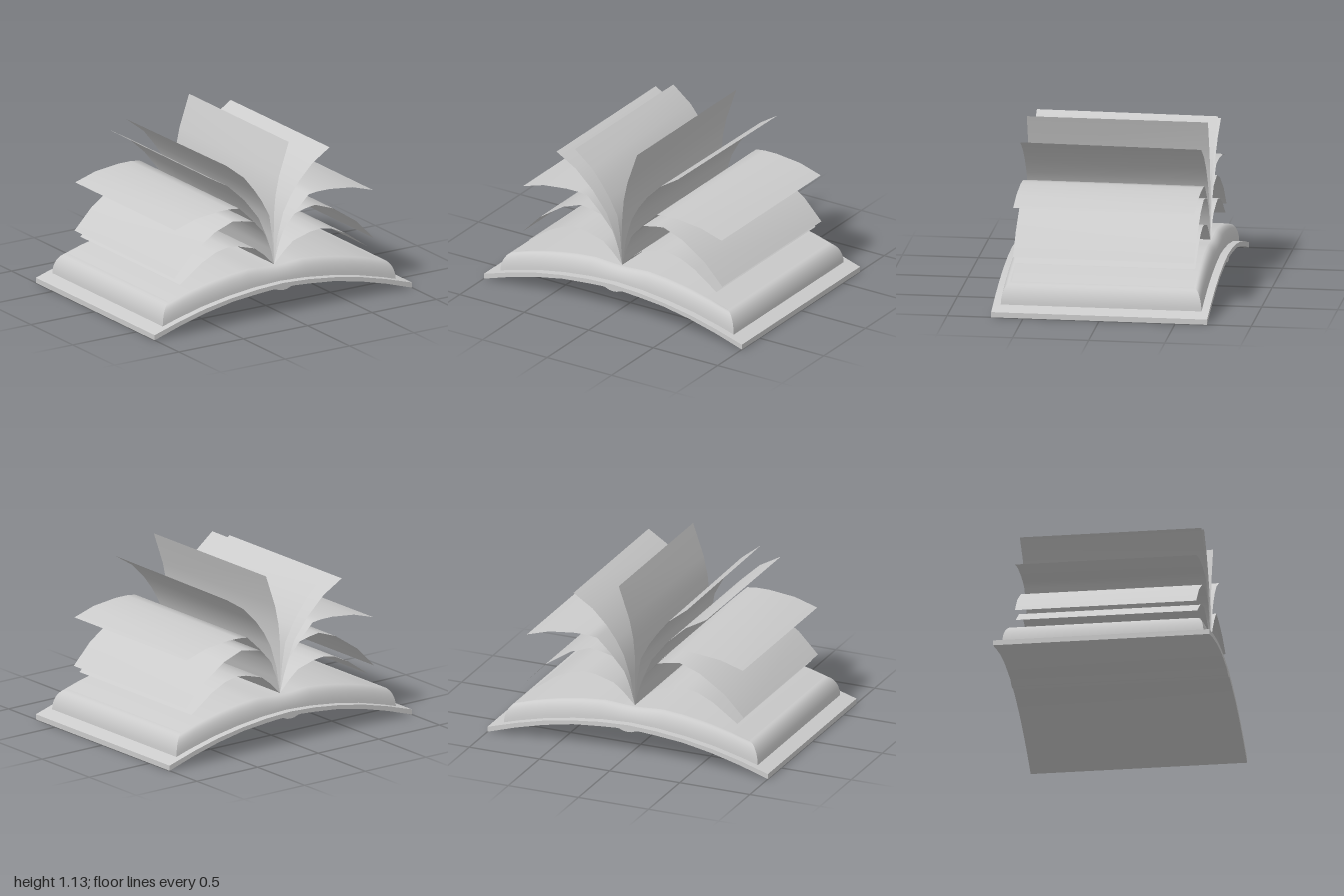
import * as THREE from 'three';
import { toCreasedNormals } from 'three/addons/utils/BufferGeometryUtils.js';

const material = new THREE.MeshStandardMaterial({ color: 0xcccccc });
const paper = new THREE.MeshStandardMaterial({ color: 0xcccccc, side: THREE.DoubleSide });

function makeMesh(geometry, name, mat = material) {
  const mesh = new THREE.Mesh(geometry, mat);
  mesh.name = name;
  return mesh;
}

// Height of a half profile [x, y] (x rising from 0) at distance |x| from the spine
function heightAt(profile, x) {
  const a = Math.abs(x);
  let i = 1;
  while (i < profile.length - 1 && profile[i][0] < a) i++;
  const [x0, y0] = profile[i - 1], [x1, y1] = profile[i];
  return y0 + (y1 - y0) * (a - x0) / (x1 - x0);
}

// Builds a grid of quads from rows of points
function gridGeometry(rows) {
  const n = rows[0].length, index = [];
  for (let r = 0; r < rows.length - 1; r++) {
    for (let i = 0; i < n - 1; i++) {
      const a = r * n + i, b = a + 1, c = a + n, d = c + 1;
      index.push(a, b, d, a, d, c);
    }
  }
  const g = new THREE.BufferGeometry();
  g.setAttribute('position', new THREE.Float32BufferAttribute(rows.flat(2), 3));
  g.setIndex(index);
  g.computeVertexNormals();
  return g;
}

const coverTop = [[0, 0.213], [0.2, 0.203], [0.4, 0.18], [0.6, 0.145], [0.8, 0.095], [1, 0.035]];
const coverBottom = [[0, 0.165], [0.03, 0.168], [0.06, 0.18], [0.085, 0.181], [0.2, 0.173],
  [0.39, 0.155], [0.6, 0.115], [0.8, 0.063], [1, 0]];
const blockTop = [[0, 0.305], [0.06, 0.307], [0.2, 0.317], [0.35, 0.304], [0.52, 0.278],
  [0.68, 0.242], [0.82, 0.2]];

// Arched slab with the small spine ridge below
function makeCover() {
  const flip = (p) => [-p[0], p[1]];
  const outline = [
    ...coverBottom.slice(1).reverse().map(flip), ...coverBottom,
    ...coverTop.slice().reverse(), ...coverTop.slice(1).map(flip),
  ];
  const shape = new THREE.Shape(outline.map(([x, y]) => new THREE.Vector2(x, y)));
  const g = new THREE.ExtrudeGeometry(shape, { depth: 1.42, bevelEnabled: false });
  g.translate(0, 0, -0.71);
  return makeMesh(toCreasedNormals(g, 0.6), 'cover');
}

// Page block: rectangular rings that draw in towards the top, then a curved top face
function makePageBlock() {
  const group = new THREE.Group();
  group.name = 'pageBlock';
  const N = 24, levels = 8;
  const point = (level, u, v) => {
    const angle = level / levels * Math.PI / 2;
    const t = Math.sin(angle), inset = 1 - Math.cos(angle);
    const y0 = heightAt(coverTop, u * 0.905) - 0.003, y1 = heightAt(blockTop, u * 0.82);
    return [u * (0.905 - 0.085 * inset), y0 + (y1 - y0) * t, v * (0.66 - 0.06 * inset)];
  };
  const steps = Array.from({ length: N + 1 }, (_, i) => -1 + 2 * i / N);
  const edges = [
    ['frontPageEdges', steps.map((s) => [s, 1])],
    ['leftPageEdges', [[1, 1], [1, -1]]],
    ['backPageEdges', steps.map((s) => [-s, -1])],
    ['rightPageEdges', [[-1, -1], [-1, 1]]],
  ];
  for (const [name, line] of edges) {
    const rows = [];
    for (let l = 0; l <= levels; l++) rows.push(line.map(([u, v]) => point(l, u, v)));
    group.add(makeMesh(gridGeometry(rows), name));
  }
  const top = [1, -1].map((v) => steps.map((u) => point(levels, u, v)));
  group.add(makeMesh(gridGeometry(top), 'topPages'));
  return group;
}

// A loose leaf: a bent line swept from front to back, with an optional slight skew
function makeLeaf(name, points, side, skew = 0) {
  const line = [[0, 0.31], ...points];
  const rows = [0.597, -0.594].map((z) => line.map(([x, y], i) => {
    const s = skew * z * Math.min(1, i / 2);
    return [x * side + s * side * -0.8, y + s, z];
  }));
  return makeMesh(gridGeometry(rows), name, paper);
}

export function createModel() {
  const model = new THREE.Group();
  model.name = 'openBook';
  model.add(makeCover(), makePageBlock());

  // Leaves found on both sides of the spine
  const paired = {
    LowLeaf: [[0.03, 0.34], [0.08, 0.39], [0.15, 0.445], [0.28, 0.482], [0.36, 0.49],
      [0.45, 0.472], [0.56, 0.42], [0.73, 0.3]],
    MiddleLeaf: [[0.03, 0.42], [0.07, 0.53], [0.16, 0.63], [0.25, 0.65], [0.32, 0.66],
      [0.46, 0.61], [0.64, 0.49], [0.775, 0.35]],
    HighLeaf: [[0.03, 0.43], [0.08, 0.545], [0.17, 0.645], [0.27, 0.74], [0.34, 0.748],
      [0.43, 0.748], [0.61, 0.728], [0.77, 0.68]],
  };
  for (const [side, prefix] of [[1, 'left'], [-1, 'right']]) {
    for (const [name, points] of Object.entries(paired)) {
      model.add(makeLeaf(prefix + name, points, side));
    }
  }

  // Upright leaves, different on each side
  model.add(
    makeLeaf('rightUprightLeaf', [[0.015, 0.5], [0.04, 0.65], [0.1, 0.76], [0.155, 0.84],
      [0.235, 0.94], [0.37, 1.046]], -1, 0.006),
    makeLeaf('rightLeaningLeaf', [[0.02, 0.4], [0.053, 0.5], [0.12, 0.65], [0.23, 0.79],
      [0.36, 0.91], [0.51, 0.995]], -1),
    makeLeaf('leftUprightLeaf', [[0.03, 0.5], [0.075, 0.65], [0.13, 0.75], [0.2, 0.845],
      [0.3, 0.945], [0.435, 1.031]], 1, 0.006),
    makeLeaf('centreLeaf', [[-0.002, 0.5], [0, 0.65], [0.012, 0.78], [0.04, 0.91],
      [0.115, 1.128]], 1),
  );
  return model;
}
